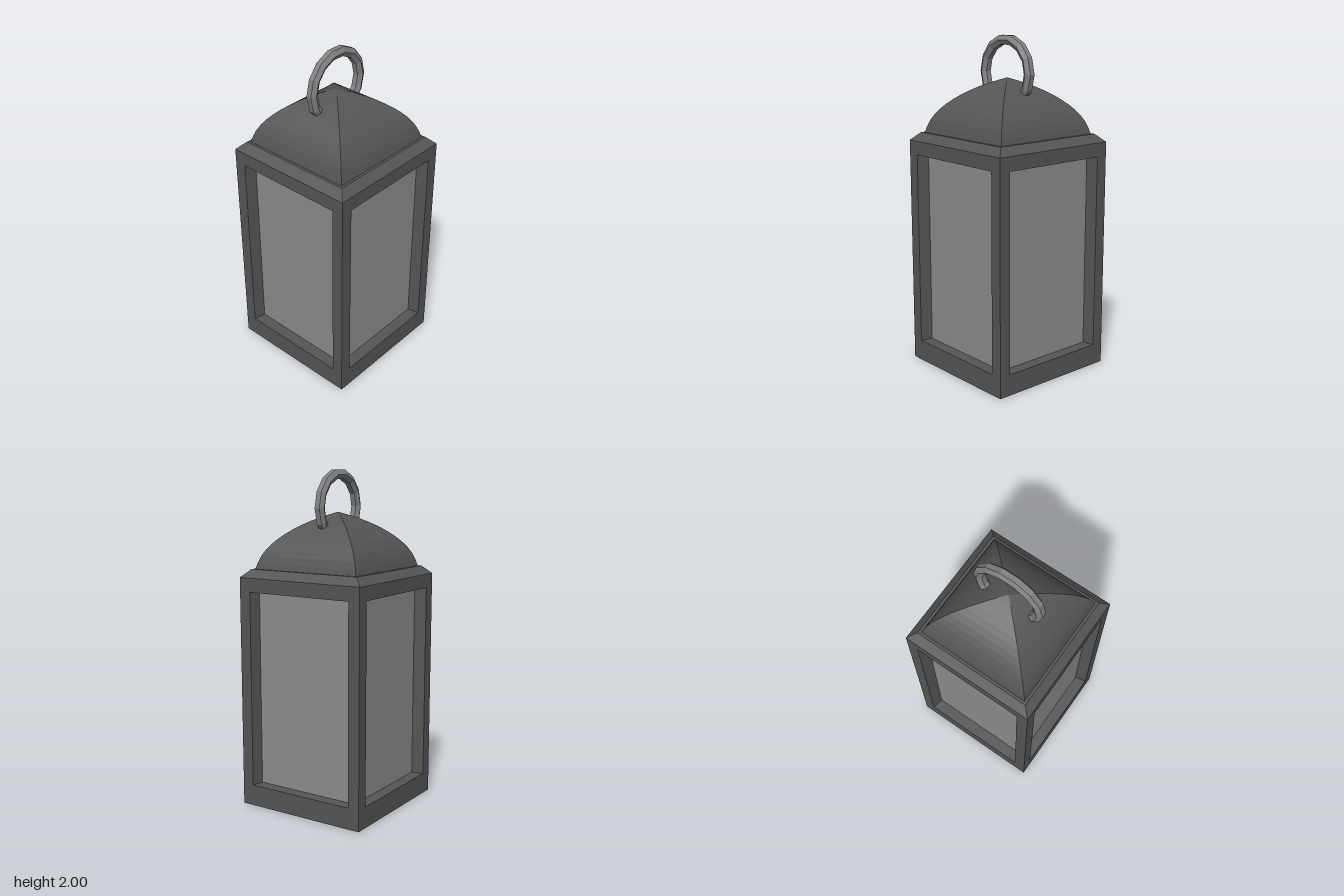
import * as THREE from 'three';

const HALF = 0.413, BODY_TOP = 1.383, RIM_TOP = 1.43;
const GLASS_Z = 0.341, SILL = 0.127, HEAD = 1.3;

// Skins a list of four-cornered rings, each counter-clockwise from outside
function loft(rings) {
  const pos = [];
  for (let r = 0; r < rings.length - 1; r++) {
    for (let i = 0; i < 4; i++) {
      const j = (i + 1) % 4, a = rings[r], b = rings[r + 1];
      pos.push(...a[i], ...a[j], ...b[j], ...a[i], ...b[j], ...b[i]);
    }
  }
  const geo = new THREE.BufferGeometry();
  geo.setAttribute('position', new THREE.Float32BufferAttribute(pos, 3));
  geo.computeVertexNormals();
  return geo;
}

// Horizontal square of half width h at height y
const square = (h, y) => [[-h, y, h], [h, y, h], [h, y, -h], [-h, y, -h]];
// Upright rectangle facing +z
const upright = (h, y0, y1, z) => [[-h, y0, z], [h, y0, z], [h, y1, z], [-h, y1, z]];

export function createModel() {
  const model = new THREE.Group();
  model.name = 'lantern';
  const material = (color) => new THREE.MeshStandardMaterial({ color, flatShading: true });
  const metal = material(0x555555), glass = material(0x8c8c8c), ringMetal = material(0x808080);
  const add = (name, geo, mat, parent = model) => {
    const mesh = new THREE.Mesh(geo, mat);
    mesh.name = name;
    parent.add(mesh);
    return mesh;
  };

  // Four window frames with tapered jambs and recessed panes
  const frameGeo = loft([
    upright(HALF, 0, BODY_TOP, HALF),
    upright(0.341, SILL, HEAD, HALF),
    upright(0.326, SILL, HEAD, GLASS_Z),
  ]);
  const paneGeo = new THREE.PlaneGeometry(0.652, HEAD - SILL);
  for (let i = 0; i < 4; i++) {
    const side = new THREE.Group();
    side.name = 'side' + (i + 1);
    side.rotation.y = i * Math.PI / 2;
    add('windowFrame', frameGeo, metal, side);
    add('glassPane', paneGeo, glass, side).position.set(0, (SILL + HEAD) / 2, GLASS_Z);
    model.add(side);
  }

  // Closed underside
  add('base', loft([square(0, 0), square(HALF, 0)]), metal);

  // Bevelled rim and flat ledge under the roof
  add('rim', loft([square(HALF, BODY_TOP), square(0.364, RIM_TOP), square(0, RIM_TOP)]), metal);

  // Curved four-sided roof
  const curve = new THREE.SplineCurve([
    [0.348, RIM_TOP], [0.331, 1.487], [0.304, 1.54], [0.27, 1.585],
    [0.228, 1.627], [0.18, 1.665], [0.125, 1.7], [0.065, 1.731], [0, 1.757],
  ].map(([x, y]) => new THREE.Vector2(x, y)));
  add('roof', loft(curve.getPoints(12).map((p) => square(p.x, p.y))), metal);

  // Hanging ring: hexagonal section swept round 14 steps, through the roof
  const section = [];
  for (let j = 0; j <= 6; j++) {
    const a = Math.PI / 6 + j * Math.PI / 3;
    section.push(new THREE.Vector2(0.193 + 0.032 * Math.cos(a), 0.032 * Math.sin(a)));
  }
  const ringGeo = new THREE.LatheGeometry(section, 14, Math.PI / 2);
  ringGeo.rotateX(Math.PI / 2);
  add('hangingRing', ringGeo, ringMetal).position.set(-0.004, 1.785, 0);

  return model;
}
